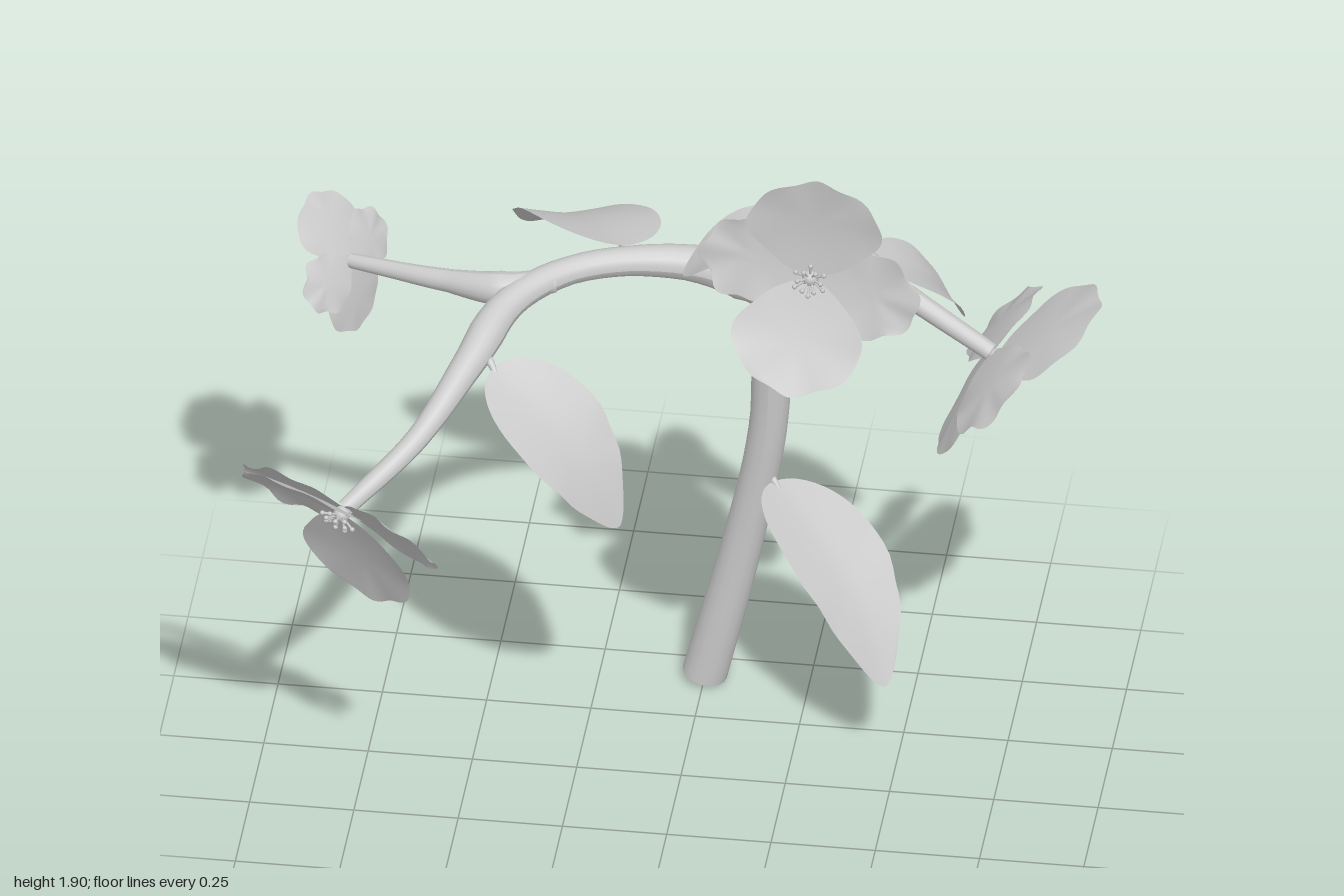
import * as THREE from 'three';

const V = (a) => new THREE.Vector3(...a);
const solid = new THREE.MeshStandardMaterial({ color: 0xcccccc });
const thin = new THREE.MeshStandardMaterial({ color: 0xcccccc, side: THREE.DoubleSide });

function mesh(name, geometry, material = solid) {
  const m = new THREE.Mesh(geometry, material);
  m.name = name;
  return m;
}

// Tube along points whose radius follows a list of evenly spaced values
function branch(name, points, radii) {
  const curve = new THREE.CatmullRomCurve3(points.map(V));
  const seg = 40, sides = 16;
  const g = new THREE.TubeGeometry(curve, seg, 1, sides);
  const p = g.attributes.position, v = new THREE.Vector3();
  for (let i = 0; i <= seg; i++) {
    const c = curve.getPointAt(i / seg);
    const f = (i / seg) * (radii.length - 1), k = Math.min(Math.floor(f), radii.length - 2);
    const r = THREE.MathUtils.lerp(radii[k], radii[k + 1], f - k);
    for (let j = 0; j <= sides; j++) {
      const n = i * (sides + 1) + j;
      v.fromBufferAttribute(p, n).sub(c).multiplyScalar(r).add(c);
      p.setXYZ(n, v.x, v.y, v.z);
    }
  }
  g.computeVertexNormals();
  return mesh(name, g);
}

// Curved sheet: grows along +y, width along x, faces +z
function blade({ length, width, skew, round, wave = 0, lift = 0, arch = 0, cup = 0, fold = 0, phase = 0 }) {
  const g = new THREE.PlaneGeometry(2, 1, 20, 28);
  const p = g.attributes.position;
  for (let i = 0; i < p.count; i++) {
    const s = p.getX(i);
    const t = (1 - Math.cos(Math.PI * (p.getY(i) + 0.5))) / 2;
    const half = (width / 2) * Math.pow(Math.max(0, Math.sin(Math.PI * Math.pow(t, skew))), round);
    let x = s * half, y = t * length;
    // ripple the outline around the blade's middle
    const mid = length * 0.55, a = Math.atan2(x, y - mid);
    const edge = Math.max(Math.abs(s) ** 3, t ** 4) * Math.min(1, t * 1.6);
    const k = 1 + wave * Math.cos(7 * a + phase) * edge;
    x *= k;
    y = mid + (y - mid) * k;
    const q = x / (width / 2);
    const z = lift * y + arch * length * Math.sin(Math.PI * t) + cup * width * q * q
      + fold * (Math.hypot(x, width * 0.12) - width * 0.12)
      + wave * 0.25 * length * Math.sin(6 * a + phase) * edge;
    p.setXYZ(i, x, y, z);
  }
  g.computeVertexNormals();
  return g;
}

// Turns an object so its y runs along up and its z along the given normal
function orient(object, normal, up, at) {
  const z = V(normal).normalize();
  const x = V(up).cross(z).normalize();
  const y = z.clone().cross(x);
  object.quaternion.setFromRotationMatrix(new THREE.Matrix4().makeBasis(x, y, z));
  object.position.copy(V(at));
  return object;
}

// Two broad petals over two narrower side petals, with a small tuft of stamens
function flower(name, { at, normal, up, size, turn = 0, lower = 0.98, droop = 0.33 }) {
  const group = new THREE.Group();
  group.name = name;
  const petals = [
    { deg: 2, length: 1.0, width: 1.16, wave: 0.035, lift: 0.2, z: 0.05 },
    { deg: 178, length: lower, width: 1.12, wave: 0.03, lift: droop, z: 0.05 },
    { deg: 80, length: 0.97, width: 0.82, wave: 0.07, lift: 0.1, z: 0 },
    { deg: -98, length: 0.97, width: 0.8, wave: 0.07, lift: 0.1, z: 0 },
  ];
  petals.forEach(({ deg, length, width, wave, lift, z }, i) => {
    const petal = mesh('petal', blade({
      length: length * size, width: width * size, skew: 1.15, round: 0.62,
      wave, lift, arch: -0.03, cup: 0.04, phase: i * 0.9,
    }), thin);
    petal.rotation.z = THREE.MathUtils.degToRad(deg + turn);
    petal.position.z = z * size;
    group.add(petal);
  });
  const heart = mesh('flowerHeart', new THREE.SphereGeometry(size * 0.07, 12, 8));
  heart.position.z = size * 0.05;
  group.add(heart);
  for (let i = 0; i < 12; i++) {
    const a = (i / 12) * Math.PI * 2, r = size * (i % 2 ? 0.14 : 0.1);
    const tip = V([Math.cos(a) * r, Math.sin(a) * r, size * (i % 2 ? 0.12 : 0.15)]);
    const path = new THREE.LineCurve3(V([0, 0, size * 0.06]), tip);
    group.add(mesh('stamen', new THREE.TubeGeometry(path, 1, size * 0.011, 5)));
    const anther = mesh('anther', new THREE.SphereGeometry(size * 0.022, 6, 5));
    anther.position.copy(tip);
    group.add(anther);
  }
  return orient(group, normal, up, at);
}

// Leaf from base to tip with a short stalk back to its branch
function leaf(name, { root, base, tip, normal, width, arch = 0.1 }) {
  const group = new THREE.Group();
  group.name = name;
  const dir = V(tip).sub(V(base));
  const length = dir.length();
  dir.normalize();
  const n = V(normal).addScaledVector(dir, -V(normal).dot(dir));
  const sheet = mesh('leafBlade', blade({ length, width, skew: 0.75, round: 0.6, arch, fold: 0.14, wave: 0.012 }), thin);
  group.add(orient(sheet, n.toArray(), dir.toArray(), base));
  const end = V(base).addScaledVector(dir, length * 0.06).toArray();
  const mid = V(root).lerp(V(end), 0.5).add(V([0, 0.008, 0])).toArray();
  group.add(branch('leafStalk', [root, mid, end], [0.014, 0.009, 0.005]));
  return group;
}

export function createModel() {
  const model = new THREE.Group();
  model.name = 'floweringBranch';

  // Main stem and its forks
  model.add(branch('mainStem', [
    [0, 0.015, -0.42], [0.09, 0.4, -0.405], [0.155, 0.75, -0.385], [0.17, 1.0, -0.37], [0.19, 1.2, -0.345],
    [0.25, 1.41, -0.28], [0.315, 1.52, -0.16], [0.345, 1.6, 0], [0.345, 1.63, 0.21],
  ], [0.054, 0.052, 0.049, 0.046, 0.046, 0.05, 0.048, 0.054, 0.048, 0.03, 0.022]));
  const cap = mesh('stemCutEnd', new THREE.CircleGeometry(0.054, 16));
  model.add(orient(cap, [-0.23, -0.97, -0.04], [0, 0, 1], [0, 0.015, -0.42]));
  model.add(branch('rightFork', [
    [0.265, 1.44, -0.25], [0.345, 1.49, -0.14], [0.46, 1.435, -0.08], [0.6, 1.375, -0.025], [0.75, 1.315, 0.035],
  ], [0.03, 0.046, 0.042, 0.03, 0.026, 0.024, 0.022]));
  model.add(branch('sideBranch', [
    [0.185, 1.1, -0.358], [0.135, 1.19, -0.35], [0.02, 1.245, -0.335], [-0.17, 1.275, -0.285],
    [-0.32, 1.275, -0.21], [-0.43, 1.25, -0.1], [-0.5, 1.19, 0.07], [-0.6, 1.09, 0.26], [-0.75, 0.98, 0.41],
  ], [0.025, 0.056, 0.043, 0.036, 0.034, 0.038, 0.044, 0.036, 0.029, 0.026, 0.022]));
  model.add(branch('sideFork', [
    [-0.33, 1.27, -0.19], [-0.44, 1.26, -0.155], [-0.6, 1.24, -0.2], [-0.83, 1.215, -0.285],
  ], [0.03, 0.042, 0.028, 0.022, 0.018]));

  // Flowers
  model.add(flower('topFlower', {
    at: [0.34, 1.615, 0.205], normal: [0, 0.15, 1], up: [0.06, 1, 0], size: 0.28, turn: -3,
  }));
  model.add(flower('rightFlower', {
    at: [0.75, 1.315, 0.035], normal: [0.73, -0.68, 0.02], up: [0.66, 0.72, 0.05], size: 0.305,
    lower: 0.92, droop: 0.25,
  }));
  model.add(flower('frontFlower', {
    at: [-0.75, 0.98, 0.41], normal: [-0.41, -0.59, 0.69], up: [-0.25, 0.52, 0.3], size: 0.292,
  }));
  model.add(flower('backFlower', {
    at: [-0.83, 1.215, -0.285], normal: [-0.77, -0.45, -0.4], up: [-0.35, 0.9, -0.2], size: 0.18,
  }));

  // Leaves
  model.add(leaf('stemLeaf', {
    root: [0.14, 0.64, -0.39], base: [0.175, 0.615, -0.37], tip: [0.48, 0.265, -0.06],
    normal: [0.55, 0.75, 0.25], width: 0.3,
  }));
  model.add(leaf('hangingLeaf', {
    root: [-0.47, 1.2, 0.03], base: [-0.445, 1.18, 0.08], tip: [-0.13, 0.8, 0.13],
    normal: [0.66, 0.58, 0.42], width: 0.28,
  }));
  model.add(leaf('rearLeaf', {
    root: [-0.14, 1.28, -0.29], base: [-0.175, 1.31, -0.3], tip: [-0.44, 1.13, -0.63],
    normal: [-0.02, 0.88, -0.45], width: 0.33,
  }));
  model.add(leaf('rightLeaf', {
    root: [0.41, 1.44, -0.1], base: [0.45, 1.42, -0.16], tip: [0.63, 1.18, -0.31],
    normal: [0.6, 0.65, -0.3], width: 0.22,
  }));
  model.add(leaf('upperLeaf', {
    root: [0.33, 1.55, -0.12], base: [0.26, 1.56, -0.08], tip: [0.0, 1.42, -0.04],
    normal: [-0.48, 0.87, 0.05], width: 0.205,
  }));
  return model;
}
